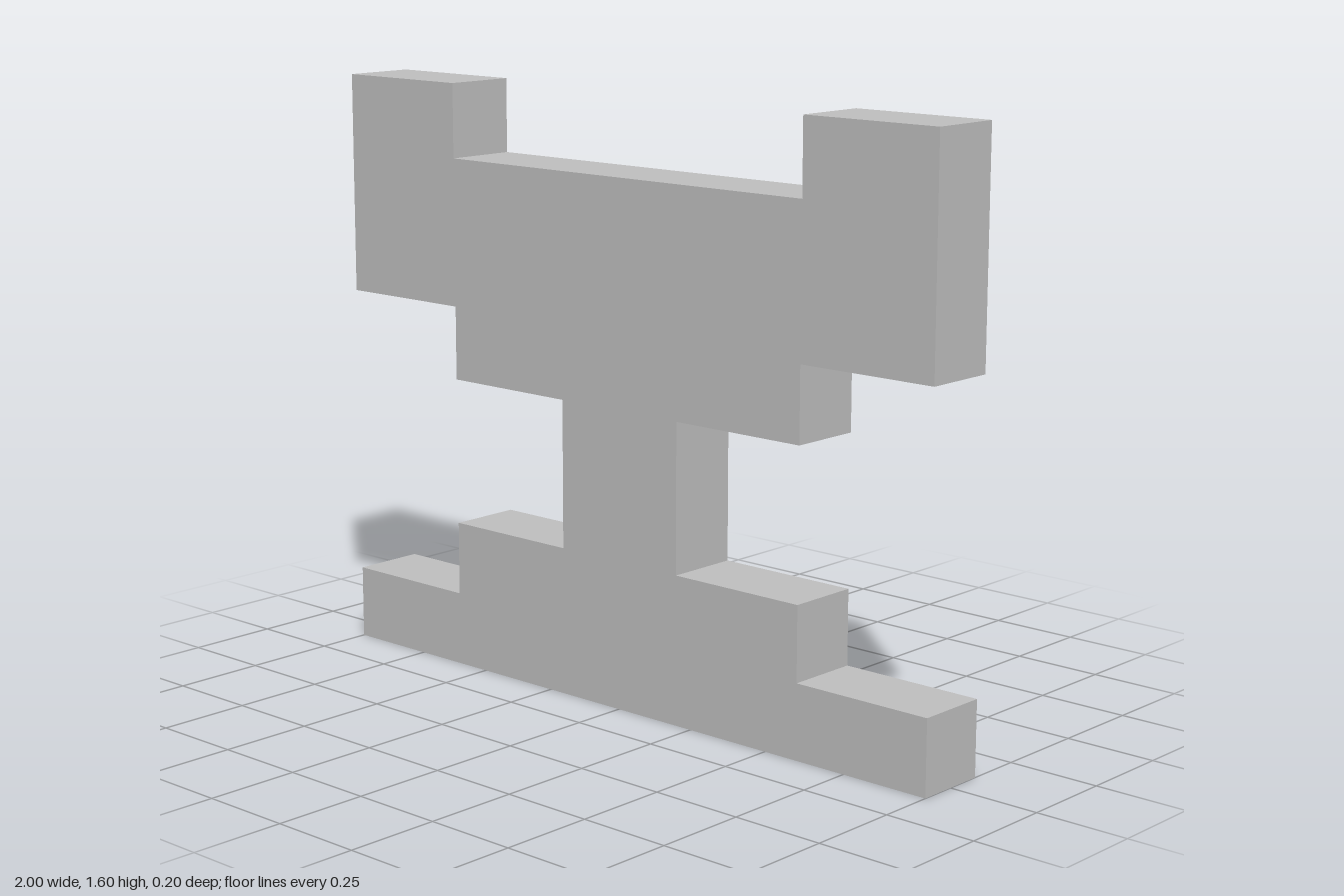
import * as THREE from 'three';

export function createModel() {
  const group = new THREE.Group();
  group.name = 'steppedStand';
  const grey = new THREE.MeshStandardMaterial({ color: 0xc0c0c0 });
  grey.name = 'plain grey';

  // Half outline on the +x side, from the foot up to the raised top corner
  const half = [
    [1, 0], [1, 0.2], [0.6, 0.2], [0.6, 0.4],     // stepped foot
    [0.2, 0.4], [0.2, 0.8],                       // narrow waist
    [0.6, 0.8], [0.6, 1], [1, 1], [1, 1.6],       // stepped head
    [0.6, 1.6], [0.6, 1.4],                       // raised corner
  ];
  // Mirror the half to close the outline
  const mirrored = half.map(([x, y]) => [-x, y]).reverse();
  const outline = [...half, ...mirrored].map(([x, y]) => new THREE.Vector2(x, y));

  // Solid slab, 0.2 deep and centred on z
  const geometry = new THREE.ExtrudeGeometry(new THREE.Shape(outline), {
    depth: 0.2, bevelEnabled: false,
  });
  geometry.translate(0, 0, -0.1);

  const body = new THREE.Mesh(geometry, grey);
  body.name = 'steppedBody';
  group.add(body);
  return group;
}
